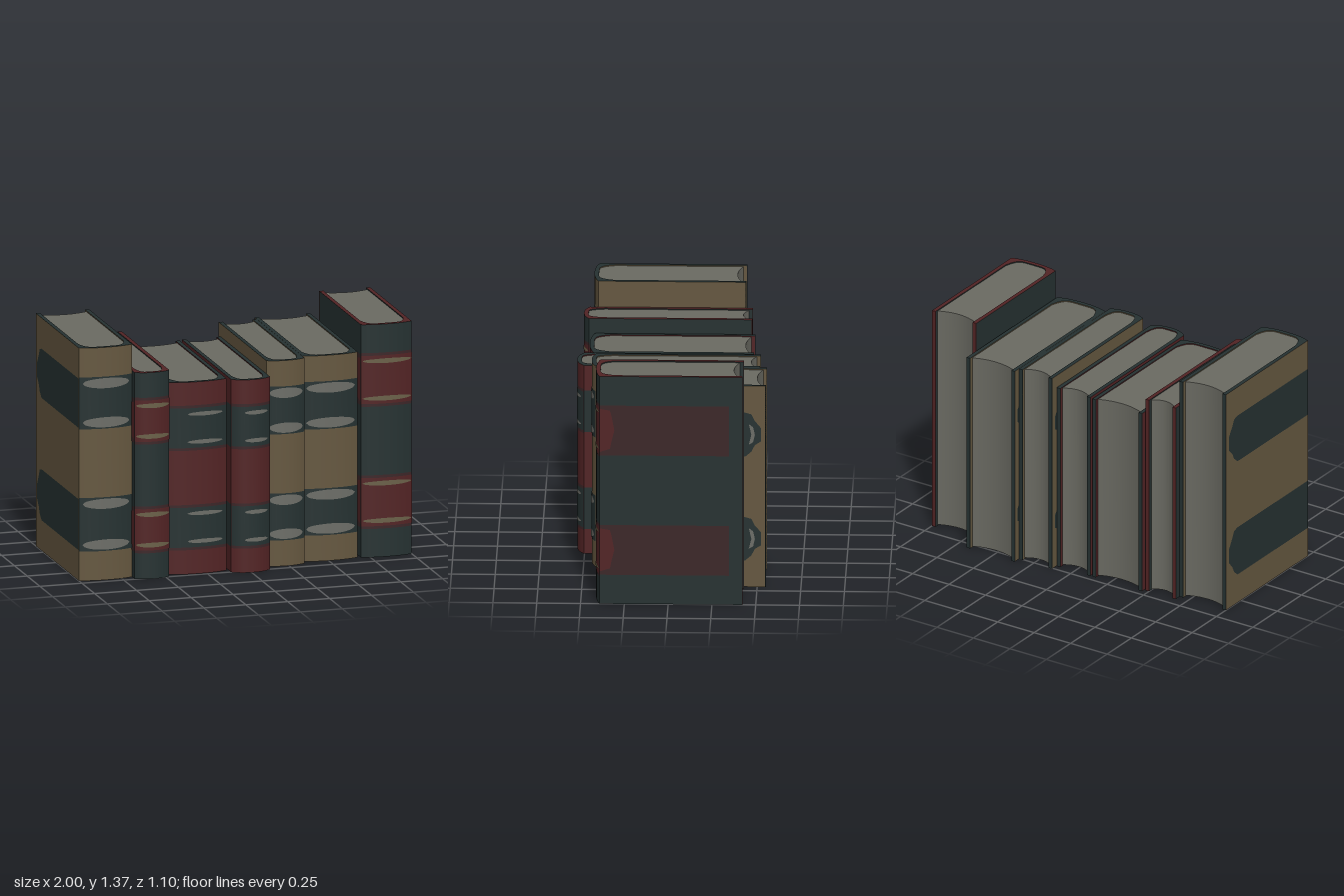
import * as THREE from 'three';
import { toCreasedNormals } from 'three/addons/utils/BufferGeometryUtils.js';

const mat = (name, color) => {
  const m = new THREE.MeshStandardMaterial({ color });
  m.name = name;
  return m;
};
const tan = mat('tan leather', 0x65573f);
const green = mat('dark green leather', 0x253131);
const red = mat('red leather', 0x522324);
const darkRed = mat('dark red panel', 0x3b2527);
const paper = mat('paper', 0x6a6a62);
const grey = mat('worn grey foil', 0x6c6d67);
const gilt = mat('dull gilt foil', 0x6a6048);

// Binding styles: main leather, band and rim colour, side panel colour, band edge, foil line shape
const styles = {
  tan: { main: tan, band: green, panel: green, edge: green, foil: grey, u0: -0.88, u1: 0.88, thick: 0.03, inset: 0.03 },
  red: { main: red, band: green, panel: green, edge: darkRed, foil: grey, u0: -0.4, u1: 0.85, thick: 0.012, inset: 0.043 },
  green: { main: green, band: red, panel: darkRed, edge: darkRed, foil: gilt, u0: -0.95, u1: 0.98, thick: 0.014, inset: 0.04 },
};

// x range, height, back and front z, spine bulge, bands as [bottom, top]
const books = [
  { style: 'tan', x0: -1, x1: -0.683, h: 1.37, zb: -0.4, zf: 0.467, bulge: 0.027, bands: [[0.18, 0.48], [0.9, 1.19]] },
  { style: 'green', x0: -0.683, x1: -0.476, h: 1.215, zb: -0.44, zf: 0.52, bulge: 0.03, bands: [[0.16, 0.42], [0.8, 1.06]] },
  { style: 'red', x0: -0.466, x1: -0.124, h: 1.13, zb: -0.46, zf: 0.48, bulge: 0.027, bands: [[0.15, 0.4], [0.735, 0.985]] },
  { style: 'red', x0: -0.11, x1: 0.12, h: 1.135, zb: -0.46, zf: 0.543, bulge: 0.04, bands: [[0.15, 0.4], [0.735, 0.985]] },
  { style: 'tan', x0: 0.122, x1: 0.349, h: 1.21, zb: -0.505, zf: 0.455, bulge: 0.026, bands: [[0.16, 0.42], [0.785, 1.05]] },
  { style: 'tan', x0: 0.35, x1: 0.68, h: 1.21, zb: -0.547, zf: 0.41, bulge: 0.026, bands: [[0.16, 0.42], [0.785, 1.05]] },
  { style: 'green', x0: 0.697, x1: 1, h: 1.37, zb: -0.423, zf: 0.414, bulge: 0.022, bands: [[0.175, 0.475], [0.895, 1.195]] },
];

const BOARD = 0.024;
const N = 24;
const steps = Array.from({ length: N + 1 }, (_, i) => (2 * i) / N - 1);

function add(group, name, geometry, material) {
  const mesh = new THREE.Mesh(geometry, material);
  mesh.name = name;
  group.add(mesh);
  return mesh;
}

// Upright prism from a plan outline of [x, z] points
function prism(points, y0, y1) {
  const shape = new THREE.Shape(points.map(([x, z]) => new THREE.Vector2(x, -z)));
  const g = new THREE.ExtrudeGeometry(shape, { depth: y1 - y0, bevelEnabled: false });
  g.rotateX(-Math.PI / 2).translate(0, y0, 0);
  return toCreasedNormals(g, 0.6);
}

// Thin sheet following the rounded spine between two height rules
function spinePatch(b, u0, u1, lo, hi, off) {
  const pos = [], idx = [];
  for (let i = 0; i <= N; i++) {
    const v = (2 * i) / N - 1;
    const u = u0 + ((u1 - u0) * i) / N;
    const x = b.cx + u * b.w, z = b.spine(u) + off;
    pos.push(x, lo(v), z, x, hi(v), z);
    if (i < N) {
      const a = 2 * i;
      idx.push(a, a + 2, a + 1, a + 1, a + 2, a + 3);
    }
  }
  const g = new THREE.BufferGeometry();
  g.setAttribute('position', new THREE.Float32BufferAttribute(pos, 3));
  g.setIndex(idx);
  g.computeVertexNormals();
  return g;
}

// Flat sheet on a board; outline points are [z, y]
function sidePatch(b, side, points, off) {
  const shape = new THREE.Shape(points.map(([z, y]) => new THREE.Vector2(-side * z, y)));
  const g = new THREE.ShapeGeometry(shape);
  g.rotateY((side * Math.PI) / 2);
  return g.translate(b.cx + side * (b.w + off), 0, 0);
}

function makeBook(spec) {
  const s = styles[spec.style];
  const w = (spec.x1 - spec.x0) / 2, cx = (spec.x0 + spec.x1) / 2;
  const b = { ...spec, w, cx, spine: (u) => spec.zf - spec.bulge * Math.abs(u) ** 2.5 };
  const g = new THREE.Group();
  g.name = 'book';

  // Cover: two boards joined by a rounded spine
  const wi = w - BOARD;
  const pageFront = (u) => b.zf - 0.026 - 0.09 * Math.abs(u) ** 6;
  const outer = steps.map((u) => [cx + u * w, b.spine(u)]);
  const inner = steps.map((u) => [cx + u * wi, pageFront(u)]).reverse();
  const outline = [[b.x0, b.zb], ...outer, [b.x1, b.zb], [cx + wi, b.zb], ...inner, [cx - wi, b.zb]];
  add(g, 'cover', prism(outline, 0, b.h), [s.band, s.main]);

  // Page block with a hollow fore edge
  const front = steps.map((u) => [cx + u * wi, pageFront(u)]);
  const back = steps.map((u) => [cx + u * wi, b.zb + 0.05 - 0.03 * u * u]).reverse();
  add(g, 'pages', prism([...front, ...back], 0.006, b.h - 0.006), paper);

  for (const side of [-1, 1]) {
    // Board fore edges
    const edge = add(g, 'boardEdge', new THREE.BoxGeometry(BOARD, b.h, 0.004), s.band);
    edge.position.set(cx + side * (w - BOARD / 2), b.h / 2, b.zb);
  }

  for (const [lo, hi] of b.bands) {
    const mid = (lo + hi) / 2;
    // Spine band with a narrow border
    add(g, 'bandBorder', spinePatch(b, -1, 1, () => lo - 0.008, () => hi + 0.008, 0.001), s.edge);
    add(g, 'spineBand', spinePatch(b, -1, 1, () => lo + 0.008, () => hi - 0.008, 0.002), s.band);

    // Worn foil lines near the top and bottom of the band
    for (const y of [lo + s.inset, hi - s.inset]) {
      const half = (v) => s.thick * Math.sqrt(Math.max(0, 1 - v * v));
      add(g, 'foilLine', spinePatch(b, s.u0, s.u1, (v) => y - half(v), (v) => y + half(v), 0.004), s.foil);
    }

    // Side panels on both boards
    const zs = b.spine(1);
    for (const side of [-1, 1]) {
      if (spec.style === 'green') {
        const ze = b.zb + 0.075;
        add(g, 'sidePanel', sidePatch(b, side, [[zs, lo], [ze, lo], [ze, hi], [zs, hi]], 0.0015), s.panel);
        const worn = [[zs, lo + 0.02], [zs - 0.06, lo + 0.04], [zs - 0.07, lo + 0.09], [zs - 0.085, mid],
          [zs - 0.07, hi - 0.07], [zs - 0.06, hi - 0.03], [zs, hi - 0.02]];
        add(g, 'wornPatch', sidePatch(b, side, worn, 0.003), s.band);
      } else {
        const ze = b.zb + 0.025;
        const panel = [[zs, lo], [ze + 0.09, lo], [ze + 0.055, lo + 0.03], [ze + 0.035, lo + 0.07], [ze, mid - 0.04],
          [ze, mid + 0.04], [ze + 0.035, hi - 0.05], [ze + 0.055, hi - 0.01], [ze + 0.09, hi], [zs, hi]];
        add(g, 'sidePanel', sidePatch(b, side, panel, 0.0015), s.panel);
        if (spec.style === 'tan' && side > 0) {
          const mark = [[ze + 0.07, mid - 0.06], [ze + 0.045, mid - 0.045], [ze + 0.035, mid],
            [ze + 0.045, mid + 0.045], [ze + 0.07, mid + 0.065], [ze + 0.055, mid]];
          add(g, 'foilMark', sidePatch(b, side, mark, 0.003), grey);
        }
      }
    }
  }
  return g;
}

export function createModel() {
  const model = new THREE.Group();
  model.name = 'bookRow';
  books.forEach((spec) => model.add(makeBook(spec)));
  return model;
}
